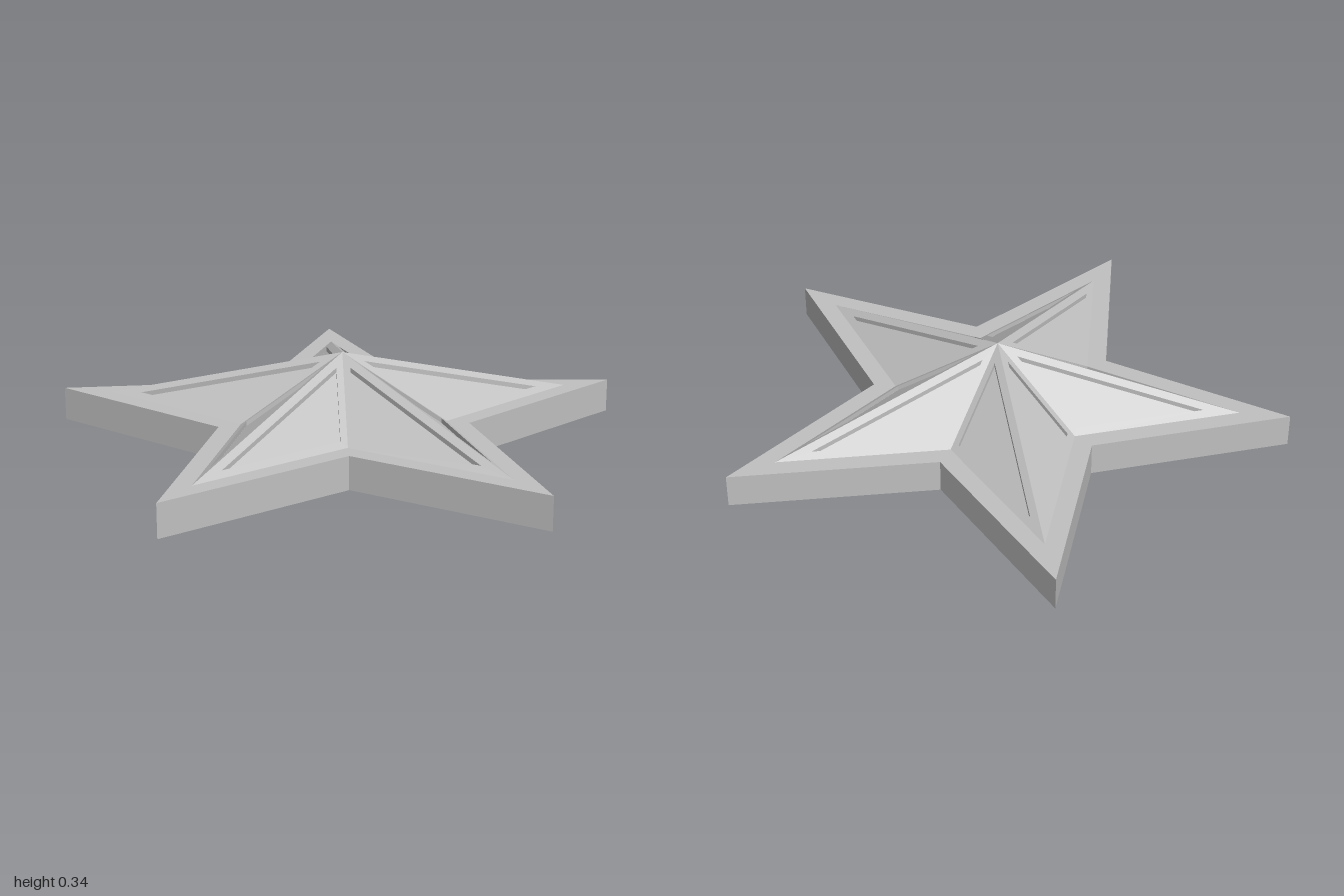
import * as THREE from 'three';

const CENTER_Z = 0.1;
const BASE_TOP = 0.12, APEX_Y = 0.34;
const INSET = 0.024, RECESS = 0.017;
const STEP = Math.PI / 5;

// point at radius r and angle a (0 = rear tip) around the star's centre
const polar = (r, a, y) => new THREE.Vector3(r * Math.sin(a), y, CENTER_Z - r * Math.cos(a));

function trianglesGeometry(points) {
  const geometry = new THREE.BufferGeometry().setFromPoints(points);
  geometry.computeVertexNormals();
  return geometry;
}

// shrink a triangle in its own plane by an even margin measured in plan
function insetTriangle(corners, margin) {
  const lengths = corners.map((_, i) => {
    const p = corners[(i + 1) % 3], q = corners[(i + 2) % 3];
    return Math.hypot(p.x - q.x, p.z - q.z);
  });
  const perimeter = lengths[0] + lengths[1] + lengths[2];
  const incenter = new THREE.Vector3();
  corners.forEach((c, i) => incenter.addScaledVector(c, lengths[i] / perimeter));
  const [a, b, c] = corners;
  const doubleArea = Math.abs((b.x - a.x) * (c.z - a.z) - (b.z - a.z) * (c.x - a.x));
  const keep = 1 - margin * perimeter / doubleArea;
  return corners.map(p => incenter.clone().lerp(p, keep));
}

// band of quads between two triangular loops
function band(outer, inner) {
  const points = [];
  for (let i = 0; i < 3; i++) {
    const j = (i + 1) % 3;
    points.push(outer[i], outer[j], inner[j], outer[i], inner[j], inner[i]);
  }
  return points;
}

export function createModel() {
  const grey = new THREE.MeshStandardMaterial({ color: 0xc0c0c0 });
  grey.name = 'silver grey';
  const model = new THREE.Group();
  model.name = 'fivePointedStar';

  // flat star-shaped plinth
  const outline = new THREE.Shape();
  for (let i = 0; i < 10; i++) {
    const p = polar(i % 2 ? 0.455 : 1.05, i * STEP, 0);
    if (i) outline.lineTo(p.x, -p.z);
    else outline.moveTo(p.x, -p.z);
  }
  outline.closePath();
  const baseGeometry = new THREE.ExtrudeGeometry(outline, { depth: BASE_TOP, bevelEnabled: false });
  baseGeometry.rotateX(-Math.PI / 2);
  const base = new THREE.Mesh(baseGeometry, grey);
  base.name = 'starBase';
  model.add(base);

  // raised star: two sloped facets per arm, each with a sunken panel
  const apex = new THREE.Vector3(0, APEX_Y, CENTER_Z);
  for (let arm = 0; arm < 5; arm++) {
    const angle = arm * 2 * STEP;
    const tip = polar(0.87, angle, BASE_TOP);
    for (const side of [1, -1]) {
      const valley = polar(0.375, angle + side * STEP, BASE_TOP);
      const facet = side > 0 ? [apex, valley, tip] : [apex, tip, valley];
      const rim = insetTriangle(facet, INSET);
      const floor = rim.map(p => p.clone().setY(p.y - RECESS));

      const facetGroup = new THREE.Group();
      facetGroup.name = 'armFacet';
      const frame = new THREE.Mesh(trianglesGeometry(band(facet, rim)), grey);
      frame.name = 'facetFrame';
      const walls = new THREE.Mesh(trianglesGeometry(band(rim, floor)), grey);
      walls.name = 'recessWalls';
      const panel = new THREE.Mesh(trianglesGeometry(floor), grey);
      panel.name = 'sunkenPanel';
      facetGroup.add(frame, walls, panel);
      model.add(facetGroup);
    }
  }
  return model;
}
